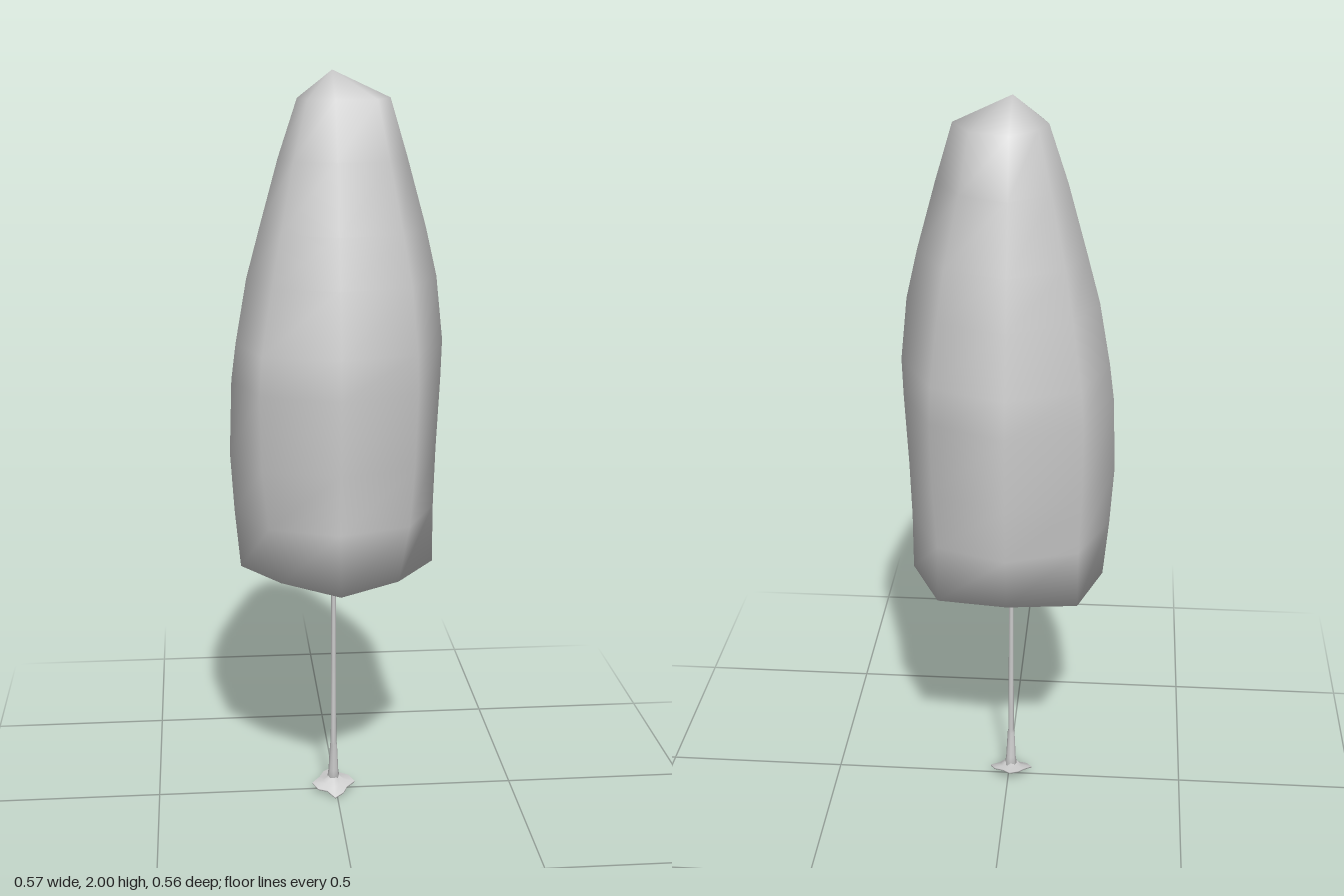
import * as THREE from 'three';

// Skin a stack of point rings (bottom to top) and close both ends with a fan.
function loft(rings, bottom, top) {
  const n = rings[0].length, last = (rings.length - 1) * n;
  const pts = [...rings.flat(), bottom, top];
  const b = rings.length * n, t = b + 1, index = [];
  for (let j = 0; j < n; j++) {
    const k = (j + 1) % n;
    for (let i = 0; i < last; i += n) {
      index.push(i + j, i + n + j, i + k, i + k, i + n + j, i + n + k);
    }
    index.push(b, j, k, t, last + k, last + j);
  }
  const g = new THREE.BufferGeometry();
  g.setAttribute('position', new THREE.Float32BufferAttribute(pts.flat(), 3));
  g.setIndex(index);
  g.computeVertexNormals();
  return g;
}

// Ring of points around (cx, cz); angles run from +x towards +z.
function ring(y, radii, cx, cz, tilt = 0) {
  return radii.map((r, j) => {
    const a = (j / radii.length) * Math.PI * 2;
    const z = Math.sin(a) * r;
    return [cx + Math.cos(a) * r, y - tilt * z, cz + z];
  });
}

export function createModel() {
  const group = new THREE.Group();
  const grey = new THREE.MeshStandardMaterial({ color: 0xcccccc, side: THREE.DoubleSide });
  grey.name = 'light grey';
  const add = (name, geometry) => {
    const mesh = new THREE.Mesh(geometry, grey);
    mesh.name = name;
    group.add(mesh);
  };

  // Crown: uneven eight-sided body, height then radius at each corner
  const crown = [
    [0.68, 0.275, 0.23, 0.272, 0.21, 0.25, 0.265, 0.21, 0.265],
    [0.84, 0.275, 0.265, 0.252, 0.255, 0.265, 0.265, 0.255, 0.262],
    [1.0, 0.28, 0.28, 0.267, 0.28, 0.275, 0.275, 0.28, 0.275],
    [1.2, 0.29, 0.288, 0.277, 0.285, 0.268, 0.275, 0.287, 0.28],
    [1.3, 0.293, 0.285, 0.267, 0.275, 0.255, 0.265, 0.278, 0.275],
    [1.47, 0.275, 0.265, 0.232, 0.235, 0.225, 0.23, 0.25, 0.25],
    [1.6, 0.245, 0.235, 0.197, 0.2, 0.19, 0.2, 0.22, 0.225],
    [1.78, 0.195, 0.19, 0.15, 0.15, 0.14, 0.145, 0.178, 0.175],
    [1.93, 0.15, 0.15, 0.09, 0.095, 0.09, 0.095, 0.14, 0.14],
  ].map(([y, ...radii]) => ring(y, radii, -0.01, 0.008));
  add('crown', loft(crown, [-0.01, 0.68, 0.008], [-0.01, 2, 0.008]));

  // Trunk: thin stem that widens towards the foot
  const trunk = [
    [0.025, 0.019, 0.0], [0.06, 0.014, 0.002], [0.14, 0.01, 0.008],
    [0.15, 0.008, 0.009], [0.4, 0.007, 0.009], [0.7, 0.006, 0.009],
  ].map(([y, r, z]) => ring(y, Array(8).fill(r), -0.007, z));
  add('trunk', loft(trunk, [-0.007, 0.025, 0], [-0.007, 0.7, 0.009]));

  // Roots: thin, tilted, uneven spread at the foot
  const spread = [0.06, 0.042, 0.05, 0.062, 0.04, 0.052, 0.06, 0.044, 0.05, 0.058, 0.042, 0.052];
  const roots = [[0.018, 1], [0.022, 1], [0.028, 0.5], [0.042, 0.28]]
    .map(([y, s]) => ring(y, spread.map((r) => r * s), -0.007, 0.005, 0.28));
  add('roots', loft(roots, [-0.007, 0.016, 0.005], [-0.007, 0.045, 0.005]));

  return group;
}
